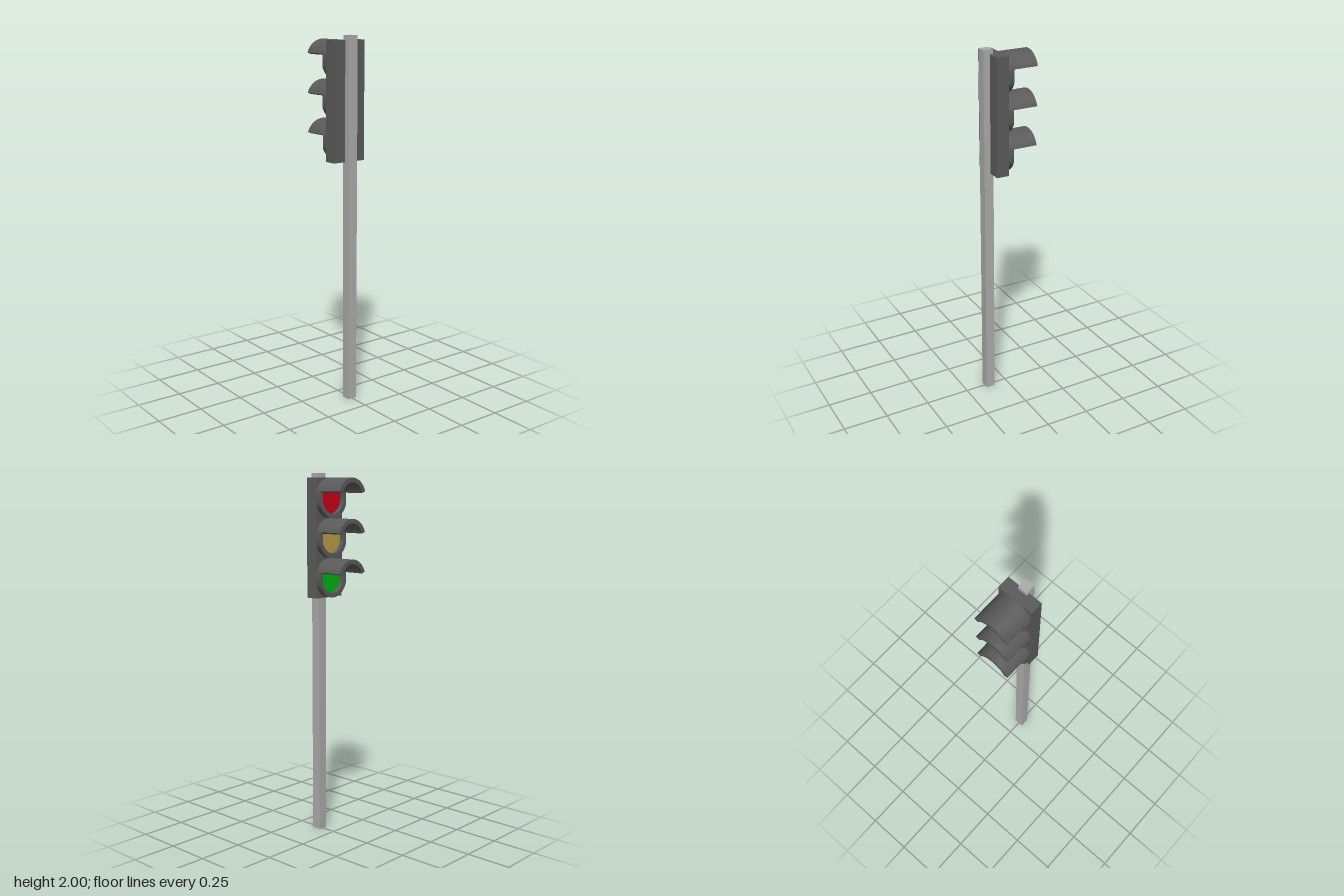
import * as THREE from 'three';
import { toCreasedNormals } from 'three/addons/utils/BufferGeometryUtils.js';

const R = 0.106;                    // outer radius of rim and visor
const R_IN = 0.082;                 // inner radius
const CUT = Math.acos(0.1 / R);     // angle where the circle meets the housing sides
const FACE_X = 0.03;                // front face of the housing, which looks towards -x

function material(name, color) {
  const m = new THREE.MeshStandardMaterial({ color });
  m.name = name;
  return m;
}

// Extrudes a (z, y) outline from the housing face towards -x
function extrudeOutwards(shape, depth) {
  const geo = new THREE.ExtrudeGeometry(shape, { depth, bevelEnabled: false, curveSegments: 32 });
  return toCreasedNormals(geo, 0.4).rotateY(-Math.PI / 2).translate(FACE_X, 0, 0);
}

// Round rim trimmed flat at both sides, with a round opening
function rimGeometry() {
  const shape = new THREE.Shape();
  shape.absarc(0, 0, R, CUT, Math.PI - CUT, false);
  shape.absarc(0, 0, R, Math.PI + CUT, 2 * Math.PI - CUT, false);
  shape.closePath();
  const hole = new THREE.Path();
  hole.absarc(0, 0, R_IN, 0, Math.PI * 2, true);
  shape.holes.push(hole);
  return extrudeOutwards(shape, 0.03);
}

// Arched hood above each lens
function visorGeometry() {
  const shape = new THREE.Shape();
  shape.absarc(0, 0, R, CUT, Math.PI - CUT, false);
  shape.absarc(0, 0, R_IN, Math.PI - CUT, CUT, true);
  shape.closePath();
  return extrudeOutwards(shape, 0.166);
}

export function createModel() {
  const model = new THREE.Group();
  model.name = 'trafficLight';

  const dark = material('dark grey', 0x5a5a5a);
  const metal = material('light grey', 0xaaaaaa);
  const lensColours = [
    material('red', 0xc80018),
    material('amber', 0xb89a48),
    material('green', 0x00b012),
  ];

  function add(parent, name, geo, mat, x = 0, y = 0, z = 0) {
    const mesh = new THREE.Mesh(geo, mat);
    mesh.name = name;
    mesh.position.set(x, y, z);
    parent.add(mesh);
    return mesh;
  }

  // Square pole and housing
  add(model, 'pole', new THREE.BoxGeometry(0.053, 2, 0.053), metal, 0.108, 1, 0);
  add(model, 'housing', new THREE.BoxGeometry(0.069, 0.636, 0.2), dark, 0.0645, 1.657, 0);

  // Three lamps, each with rim, visor and recessed lens
  const rim = rimGeometry();
  const visor = visorGeometry();
  const lens = new THREE.CircleGeometry(R_IN, 40).rotateY(-Math.PI / 2);
  lensColours.forEach((colour, i) => {
    const lamp = new THREE.Group();
    lamp.name = `${colour.name}Lamp`;
    lamp.position.y = 1.869 - i * 0.212;
    add(lamp, 'rim', rim, dark);
    add(lamp, 'visor', visor, dark);
    add(lamp, 'lens', lens, colour, FACE_X - 0.005);
    model.add(lamp);
  });

  return model;
}
